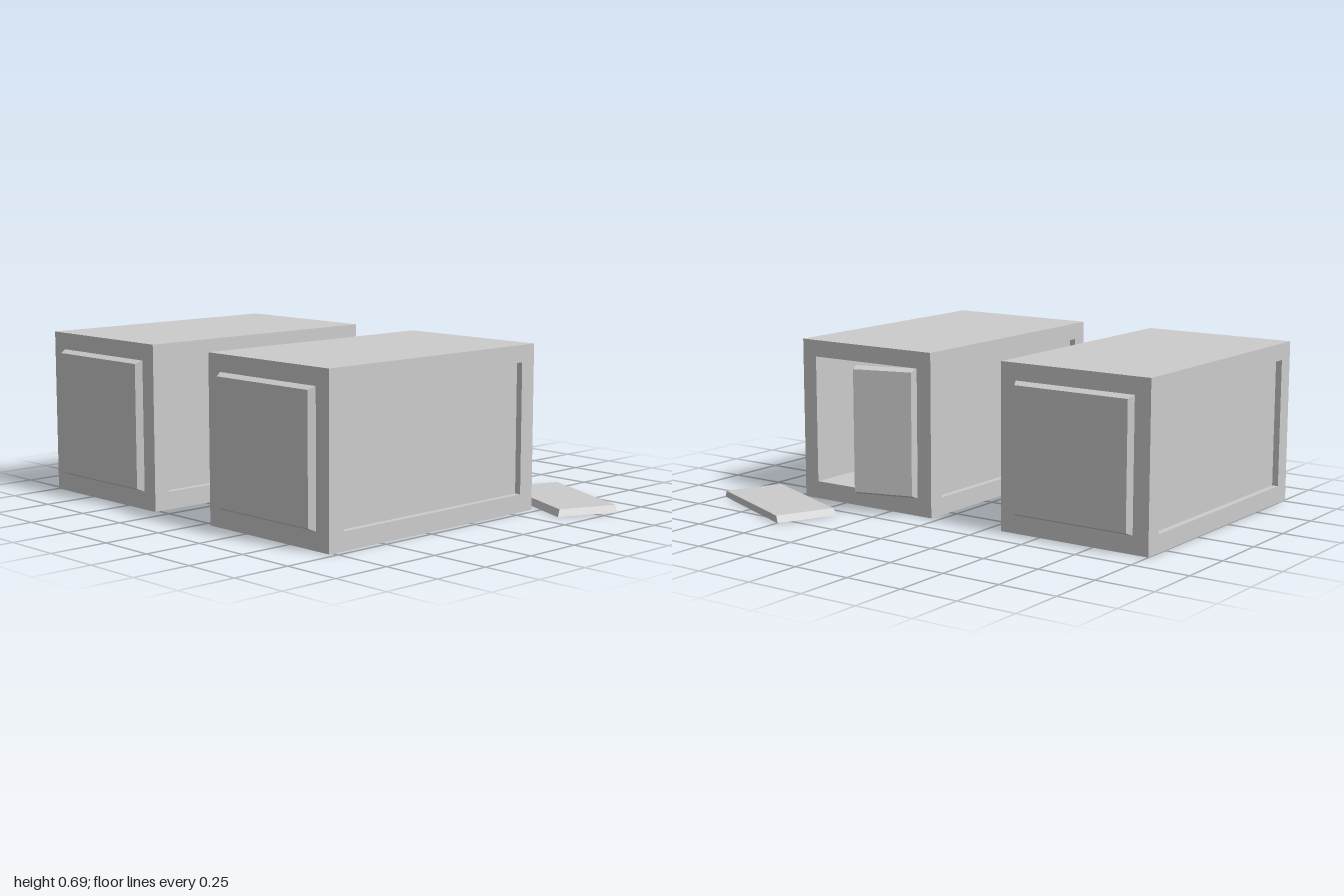
import * as THREE from 'three';

const W = 0.685, H = 0.69, FRONT = 0.77, BACK = -0.375;
const DEPTH = FRONT - BACK, MID_Z = (FRONT + BACK) / 2;
const RECESS = 0.027, THICK = 0.029, BEVEL = 0.013;
const OPEN = 0.544, MID_Y = 0.347;

const material = new THREE.MeshStandardMaterial({ color: 0xcccccc, flatShading: true });

function add(parent, name, geometry, x = 0, y = 0, z = 0) {
  const mesh = new THREE.Mesh(geometry, material);
  mesh.name = name;
  mesh.position.set(x, y, z);
  parent.add(mesh);
  return mesh;
}

// Rectangular frame in the xy plane, extruded along +z
function frameGeometry(w, h, holeW, holeH, holeY, depth) {
  const rect = (Type, rw, rh, cy) => {
    const s = new Type();
    s.moveTo(-rw / 2, cy - rh / 2).lineTo(rw / 2, cy - rh / 2);
    s.lineTo(rw / 2, cy + rh / 2).lineTo(-rw / 2, cy + rh / 2).closePath();
    return s;
  };
  const shape = rect(THREE.Shape, w, h, h / 2);
  shape.holes.push(rect(THREE.Path, holeW, holeH, holeY));
  return new THREE.ExtrudeGeometry(shape, { depth, bevelEnabled: false });
}

// Slab from x0 to x1 whose outer (+z) face is drawn in to give sloped edges
function panelGeometry(x0, x1, insetLeft, insetRight) {
  const g = new THREE.BoxGeometry(x1 - x0, OPEN, THICK);
  g.translate((x0 + x1) / 2, 0, THICK / 2);
  const p = g.attributes.position;
  for (let i = 0; i < p.count; i++) {
    if (p.getZ(i) < THICK / 2) continue;
    const x = p.getX(i), y = p.getY(i);
    p.setX(i, x < (x0 + x1) / 2 ? x + insetLeft : x - insetRight);
    p.setY(i, y - Math.sign(y) * BEVEL);
  }
  g.computeVertexNormals();
  return g;
}

function createContainer(name, x, open) {
  const group = new THREE.Group();
  group.name = name;
  group.position.x = x;
  const coreW = W - 2 * RECESS;

  // Core: solid block, or a hollow tube closed at the front
  if (open) {
    const wall = 0.07;
    add(group, 'hollowBody', frameGeometry(coreW, H, OPEN, OPEN, MID_Y, DEPTH - wall), 0, 0, BACK);
    add(group, 'frontWall', new THREE.BoxGeometry(coreW, H, wall), 0, H / 2, FRONT - wall / 2);
  } else {
    add(group, 'body', new THREE.BoxGeometry(coreW, H, DEPTH), 0, H / 2, MID_Z);
  }

  // Side frames leave a recessed field on each long wall
  for (const side of [1, -1]) {
    const frame = add(group, side > 0 ? 'leftSideFrame' : 'rightSideFrame',
      frameGeometry(DEPTH, H, 1.0, OPEN, MID_Y, RECESS), side * coreW / 2, 0, MID_Z);
    frame.rotation.y = side * Math.PI / 2;
  }

  // Raised end panels
  const panel = panelGeometry(-OPEN / 2, OPEN / 2, BEVEL, BEVEL);
  add(group, 'frontPanel', panel, 0, MID_Y, FRONT);
  if (!open) add(group, 'backPanel', panel, 0, MID_Y, BACK).rotation.y = Math.PI;
  return group;
}

export function createModel() {
  const model = new THREE.Group();
  model.name = 'containers';
  model.add(createContainer('closedContainer', -0.6575, false));
  model.add(createContainer('openContainer', 0.38, true));

  // Half doors: hinge edge at local x = 0, straight meeting edge at -x
  const door = panelGeometry(-0.27, 0, 0, BEVEL);
  add(model, 'hangingDoor', door, 0.109, MID_Y, BACK).rotation.y = Math.PI + 0.28;

  // Door lying on the ground, outer face up
  const fallen = add(model, 'fallenDoor', door, 0.64, 0, -0.45);
  fallen.rotation.set(-Math.PI / 2, -1.976, 0, 'YXZ');
  return model;
}
